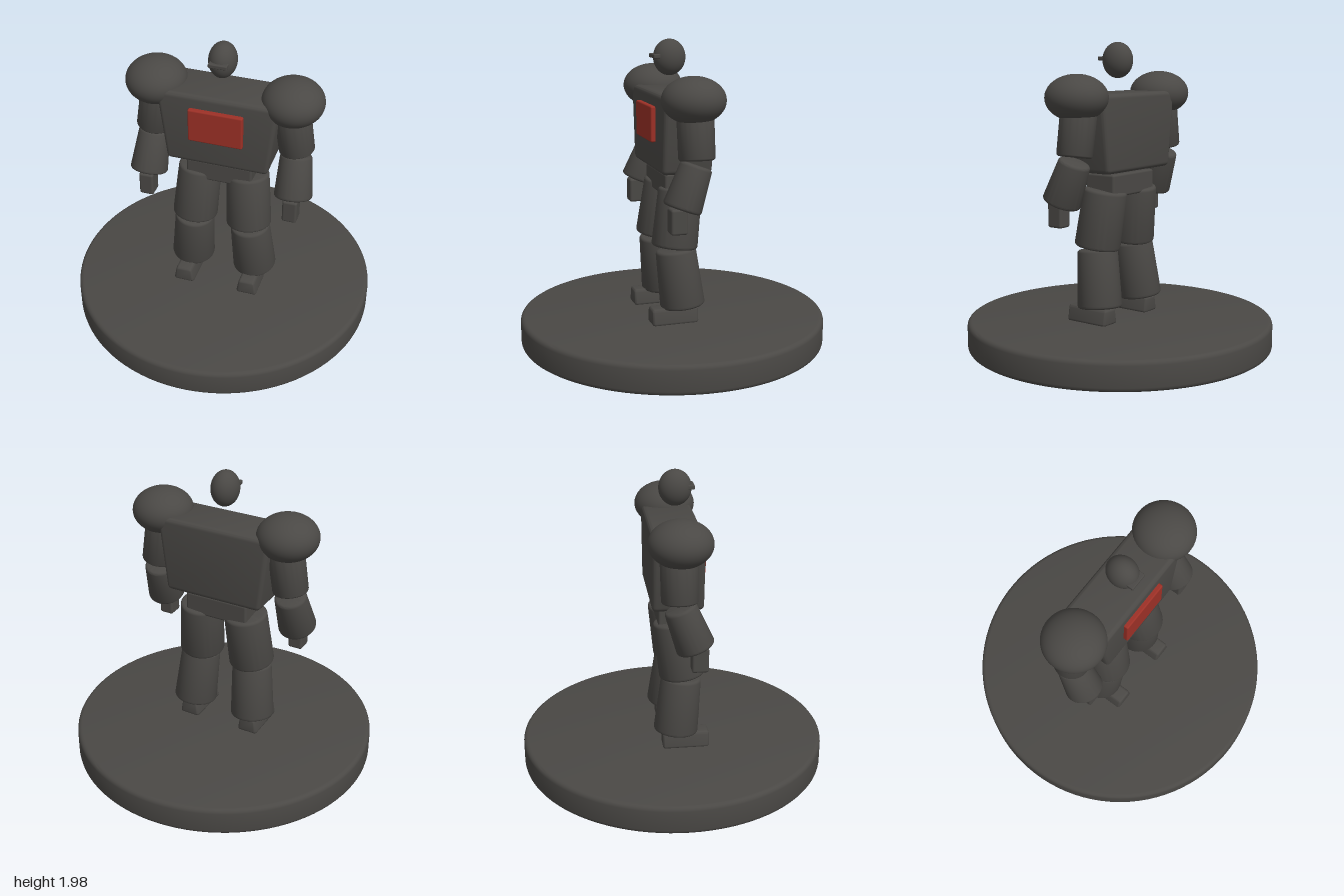
import * as THREE from 'three';
import { toCreasedNormals } from 'three/addons/utils/BufferGeometryUtils.js';
import { RoundedBoxGeometry } from 'three/addons/geometries/RoundedBoxGeometry.js';

const dark = new THREE.MeshStandardMaterial({ color: 0x4a4845 });
const red = new THREE.MeshStandardMaterial({ color: 0x9c3026 });

function addMesh(parent, name, geometry, x = 0, y = 0, z = 0, material = dark) {
  const mesh = new THREE.Mesh(geometry, material);
  mesh.name = name;
  mesh.position.set(x, y, z);
  parent.add(mesh);
  return mesh;
}

// Solid of revolution with rounded rims, from y = 0 up to y = height
function roundedCylinder(rBottom, rTop, height, bevel, segments = 48) {
  const points = [new THREE.Vector2(0, 0)];
  for (let i = 0; i <= 4; i++) {
    const a = (i / 4) * Math.PI / 2;
    points.push(new THREE.Vector2(rBottom - bevel * (1 - Math.sin(a)), bevel * (1 - Math.cos(a))));
  }
  for (let i = 0; i <= 4; i++) {
    const a = (i / 4) * Math.PI / 2;
    points.push(new THREE.Vector2(rTop - bevel * (1 - Math.cos(a)), height - bevel * (1 - Math.sin(a))));
  }
  points.push(new THREE.Vector2(0, height));
  return toCreasedNormals(new THREE.LatheGeometry(points, segments), 0.6);
}

// Tapered limb segment between two joint positions
function addLimb(parent, name, top, bottom, rTop, rBottom) {
  const from = new THREE.Vector3(...bottom);
  const axis = new THREE.Vector3(...top).sub(from);
  const geometry = roundedCylinder(rBottom, rTop, axis.length(), 0.02);
  const mesh = addMesh(parent, name, geometry, ...bottom);
  mesh.quaternion.setFromUnitVectors(new THREE.Vector3(0, 1, 0), axis.normalize());
}

// Rounded box whose width changes linearly towards the top
function taperedBox(w, h, d, bevel, topScale, bottomScale) {
  const geometry = new RoundedBoxGeometry(w, h, d, 3, bevel);
  const p = geometry.attributes.position;
  for (let i = 0; i < p.count; i++) {
    p.setX(i, p.getX(i) * THREE.MathUtils.lerp(bottomScale, topScale, p.getY(i) / h + 0.5));
  }
  return toCreasedNormals(geometry, 0.6);
}

function ellipsoid(rx, ry, rz) {
  return new THREE.SphereGeometry(1, 48, 32).scale(rx, ry, rz);
}

export function createModel() {
  const model = new THREE.Group();
  model.name = 'armouredFigure';

  // Display base
  addMesh(model, 'base', roundedCylinder(1, 1, 0.19, 0.03, 96));

  // Body
  addMesh(model, 'torso', taperedBox(0.78, 0.495, 0.325, 0.03, 1, 0.845), 0, 1.417, 0);
  addMesh(model, 'chestPanel', new RoundedBoxGeometry(0.35, 0.225, 0.06, 3, 0.01), 0, 1.468, 0.162, red);
  addMesh(model, 'pelvis', new RoundedBoxGeometry(0.435, 0.145, 0.225, 3, 0.015), 0, 1.083, 0);

  // Head
  addMesh(model, 'head', ellipsoid(0.088, 0.115, 0.104), 0, 1.868, 0.018);
  addMesh(model, 'visor', new RoundedBoxGeometry(0.118, 0.026, 0.06, 2, 0.006), 0, 1.878, 0.106);

  // Arms and legs
  for (const side of [1, -1]) {
    const name = side > 0 ? 'left' : 'right';
    const arm = new THREE.Group();
    arm.name = name + 'Arm';
    addMesh(arm, 'shoulder', ellipsoid(0.195, 0.145, 0.198), side * 0.44, 1.645, 0);
    addLimb(arm, 'upperArm', [side * 0.425, 1.62, -0.012], [side * 0.476, 1.283, -0.01], 0.115, 0.113);
    addLimb(arm, 'forearm', [side * 0.472, 1.255, -0.01], [side * 0.487, 0.99, 0.09], 0.102, 0.122);
    addMesh(arm, 'hand', new RoundedBoxGeometry(0.096, 0.16, 0.106, 3, 0.015), side * 0.483, 0.92, 0.113);

    const leg = new THREE.Group();
    leg.name = name + 'Leg';
    addLimb(leg, 'thigh', [side * 0.16, 1.05, -0.005], [side * 0.187, 0.675, 0.043], 0.14, 0.148);
    addLimb(leg, 'shin', [side * 0.192, 0.665, 0.036], [side * 0.22, 0.29, -0.004], 0.13, 0.144);
    addMesh(leg, 'foot', taperedBox(0.14, 0.11, 0.305, 0.02, 0.75, 1.04), side * 0.222, 0.238, 0.06);
    model.add(arm, leg);
  }
  return model;
}
